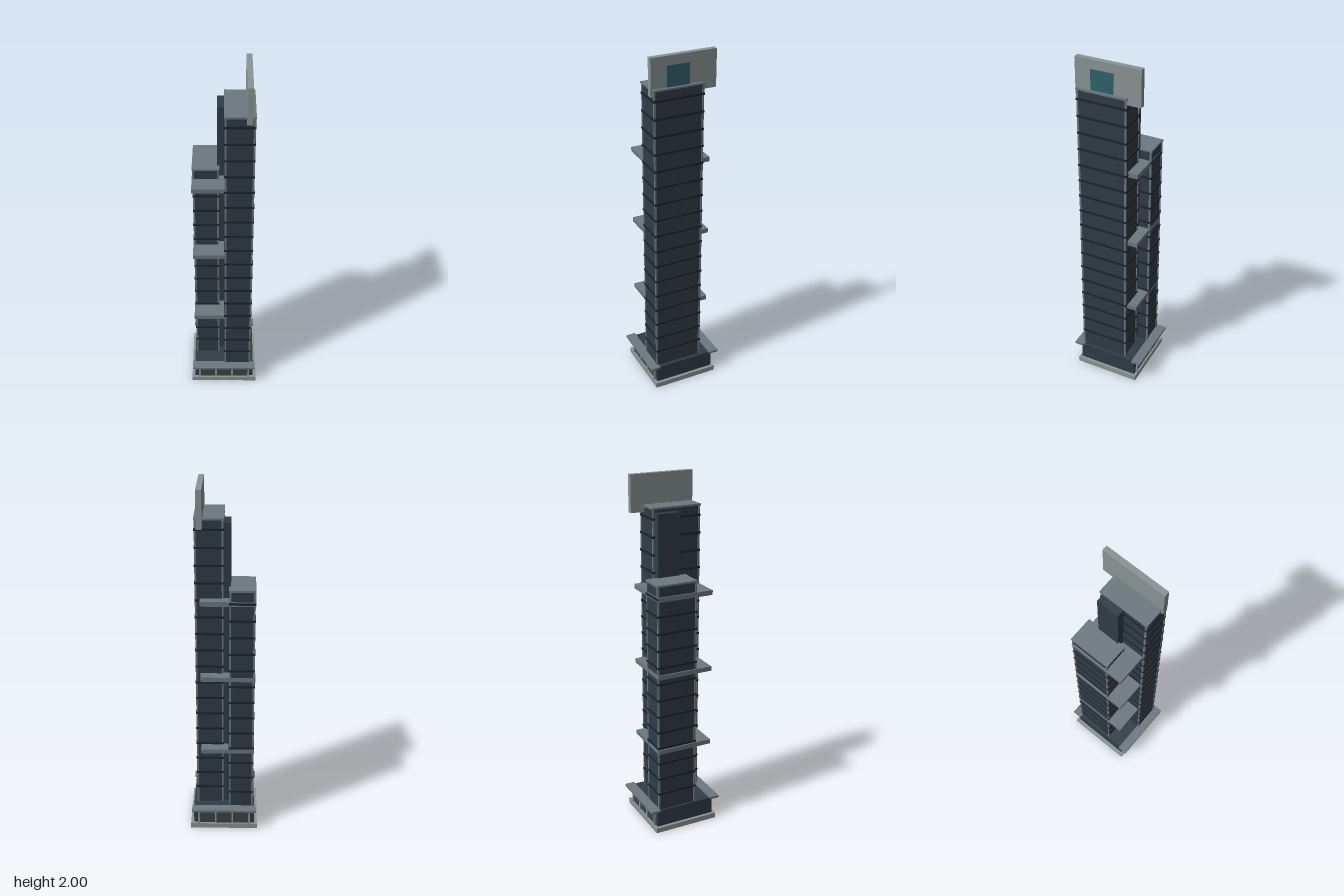
import * as THREE from 'three';

const mat = (color) => new THREE.MeshStandardMaterial({ color });

export function createModel() {
  const model = new THREE.Group();
  const glass = mat(0x303c46), band = mat(0x1c252d), slab = mat(0x6c7880);
  const stone = mat(0x8a9494), shop = mat(0x3c4446), screen = mat(0x2e636d);

  // Box given by its extents on each axis
  function box(parent, name, material, [x0, x1], [y0, y1], [z0, z1]) {
    const mesh = new THREE.Mesh(new THREE.BoxGeometry(x1 - x0, y1 - y0, z1 - z0), material);
    mesh.position.set((x0 + x1) / 2, (y0 + y1) / 2, (z0 + z1) / 2);
    mesh.name = name;
    parent.add(mesh);
    return mesh;
  }

  function group(name) {
    const g = new THREE.Group();
    g.name = name;
    model.add(g);
    return g;
  }

  // Podium: plinth, hall, shop fronts with columns, canopies
  const podium = group('podium');
  box(podium, 'plinth', stone, [-0.193, 0.193], [0, 0.03], [-0.193, 0.19]);
  box(podium, 'hall', glass, [-0.175, 0.175], [0.03, 0.13], [-0.178, 0.175]);
  for (const side of [1, -1]) {
    const z = side > 0 ? 0.175 : -0.178;
    const span = (a, b) => [z + side * a, z + side * b].sort((p, q) => p - q);
    box(podium, 'shopFront', shop, [-0.15, 0.15], [0.03, 0.125], span(-0.002, 0.004));
    for (const x of [-0.147, -0.049, 0.049, 0.147]) {
      box(podium, 'column', stone, [x - 0.005, x + 0.005], [0.03, 0.127], span(0, 0.012));
    }
    box(podium, 'canopy', slab, [-0.185, 0.185], [0.125, 0.138],
      side > 0 ? [0.16, 0.217] : [-0.22, -0.163]);
  }

  // Tower: glazed shaft, corner posts, floor bands, roof
  function tower(name, [x0, x1], [z0, z1], top) {
    const g = group(name);
    const inset = 0.007, post = 0.01, e = 0.003;
    box(g, 'shaft', glass, [x0 + inset, x1 - inset], [0.13, top - 0.008], [z0 + inset, z1 - inset]);
    for (const x of [x0 + e, x1 - e - post]) {
      for (const z of [z0 + e, z1 - e - post]) {
        box(g, 'cornerPost', slab, [x, x + post], [0.13, top - 0.008], [z, z + post]);
      }
    }
    for (let y = 0.234; y < top - 0.03; y += 0.0964) {
      box(g, 'floorBand', band, [x0 + 0.001, x1 - 0.001], [y - 0.006, y + 0.006], [z0 + 0.001, z1 - 0.001]);
    }
    box(g, 'roof', slab, [x0, x1], [top - 0.01, top], [z0, z1]);
  }
  tower('tallTower', [0, 0.16], [-0.113, 0.175], 1.837);
  tower('lowTower', [-0.17, -0.025], [-0.17, 0.07], 1.467);

  // Lift core between the towers
  box(model, 'liftCore', glass, [-0.036, 0.01], [0.13, 1.81], [-0.098, 0.03]);

  // Sky terraces running through both towers
  for (const y of [0.5, 0.95, 1.389]) {
    box(model, 'terrace', slab, [-0.171, 0.13], [y - 0.013, y + 0.013], [-0.164, 0.16]);
  }

  // Roof fin with display panel
  const crown = group('crown');
  box(crown, 'roofFin', stone, [0.113, 0.143], [1.797, 2], [-0.185, 0.183]);
  box(crown, 'displayPanel', screen, [0.14, 0.146], [1.82, 1.95], [-0.033, 0.095]);
  return model;
}
